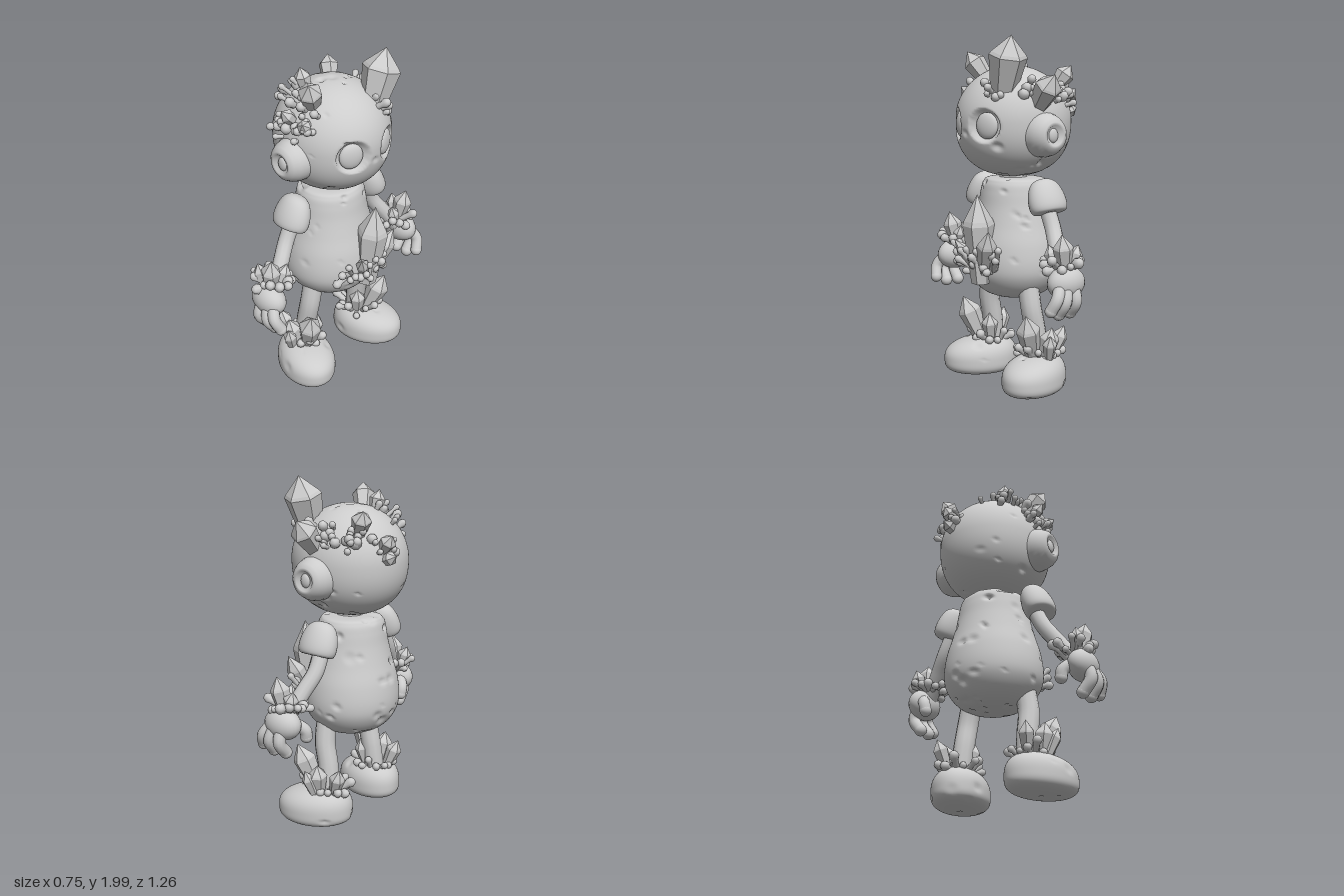
import * as THREE from 'three';
import { mergeGeometries, mergeVertices } from 'three/addons/utils/BufferGeometryUtils.js';

const V = (x, y, z) => new THREE.Vector3(x, y, z);
const UP = V(0, 1, 0);

export function createModel() {
  const model = new THREE.Group();
  model.name = 'crystalFigure';
  const stone = new THREE.MeshStandardMaterial({ color: 0xcccccc });
  stone.name = 'grey stone';

  let seed = 7;
  const rnd = () => (seed = (seed * 16807) % 2147483647) / 2147483647;
  const jit = (a) => (rnd() * 2 - 1) * a;

  const add = (name, geo, parent = model) => {
    const m = new THREE.Mesh(geo, stone);
    m.name = name;
    parent.add(m);
    return m;
  };

  // Weld the seams of a closed shape and smooth it
  const weld = (geo) => {
    geo.deleteAttribute('uv');
    geo.deleteAttribute('normal');
    const g = mergeVertices(geo, 1e-4);
    g.computeVertexNormals();
    return g;
  };

  // Press small random pits into a surface
  const pit = (geo, count, depth, size) => {
    const p = geo.attributes.position, n = geo.attributes.normal;
    const v = V(), c = V(), k = V();
    for (let i = 0; i < count; i++) {
      c.fromBufferAttribute(p, Math.floor(rnd() * p.count));
      const r = size * (0.5 + rnd()), d = depth * (0.4 + rnd()), sy = 1 + rnd();
      for (let j = 0; j < p.count; j++) {
        v.fromBufferAttribute(p, j);
        const q = k.copy(v).sub(c).multiply(V(1, sy, 1)).length() / r;
        if (q < 1) {
          v.addScaledVector(k.fromBufferAttribute(n, j), -d * (1 - q * q) ** 2);
          p.setXYZ(j, v.x, v.y, v.z);
        }
      }
    }
    geo.computeVertexNormals();
    return geo;
  };

  // Rounded solid: a sphere pushed towards a superellipsoid (lower and upper power), then shaped by a rule
  const blob = (w, h, low, high, rule) => {
    const g = new THREE.SphereGeometry(1, w, h), p = g.attributes.position, v = V();
    for (let i = 0; i < p.count; i++) {
      v.fromBufferAttribute(p, i);
      const e = v.y < 0 ? low : high, r = Math.hypot(v.x, v.z);
      v.multiplyScalar((r ** e + Math.abs(v.y) ** e) ** (-1 / e));
      rule(v);
      p.setXYZ(i, v.x, v.y, v.z);
    }
    return weld(g);
  };
  const ellipsoid = (c, rx, ry, rz) =>
    new THREE.SphereGeometry(1, 24, 16).scale(rx, ry, rz).translate(c.x, c.y, c.z);

  // Smooth lathe profile through a few points
  const smoothProfile = (pts, n) => new THREE.SplineCurve(pts.map(([r, y]) => new THREE.Vector2(r, y)))
    .getPoints(n).map((p) => p.setX(Math.max(0, p.x)));

  // Spin a profile between two points
  const spike = (base, tip, pts, sides) => {
    const d = tip.clone().sub(base), L = d.length();
    const g = new THREE.LatheGeometry(pts.map(([r, t]) => new THREE.Vector2(r, t * L)), sides);
    g.applyQuaternion(new THREE.Quaternion().setFromUnitVectors(UP, d.normalize()));
    return g.translate(base.x, base.y, base.z);
  };
  // Faceted six-sided crystal
  const crystal = (base, tip, r) => {
    const g = spike(base, tip, [[r * 0.62, 0], [r, 0.66], [r * 0.9, 0.71], [0, 1]], 6).toNonIndexed();
    g.computeVertexNormals();
    return g;
  };
  // Small stalk with a round knob at its end
  const bud = (base, tip, r) => {
    const k = r / tip.distanceTo(base);
    return spike(base, tip, [[r * 0.65, 0], [r * 0.65, Math.max(0.1, 1 - 1.9 * k)], [r, 1 - k],
      [r * 0.75, 1 - 0.35 * k], [r * 0.4, 1 - 0.08 * k], [0, 1]], 9).toNonIndexed();
  };

  // Round-ended tube through points
  const limb = (pts, r) => {
    const tube = new THREE.TubeGeometry(new THREE.CatmullRomCurve3(pts), 16, r, 12);
    return mergeGeometries([tube, ...[pts[0], pts[pts.length - 1]].map((c) => ellipsoid(c, r, r, r))]);
  };

  // Head with two eye sockets
  const headC = V(0, 1.53, 0);
  const head = blob(150, 100, 2.3, 2, (v) => {
    v.multiply(V(0.334, 0.312, 0.322));
    if (v.x > 0) for (const s of [1, -1]) {
      const q = Math.hypot((v.z - s * 0.127) / 0.088, (v.y + 0.015) / 0.094);
      if (q < 1) v.x -= 0.045 * Math.min(1, (1 - q * q) * 2);
    }
  });
  add('head', pit(head, 45, 0.012, 0.03)).position.copy(headC);

  // Neck and pear-shaped body
  add('neck', new THREE.CylinderGeometry(0.075, 0.08, 0.1, 24).translate(0, 1.23, 0));
  const outline = [[0, 0.515], [0.13, 0.53], [0.215, 0.575], [0.27, 0.65], [0.286, 0.73], [0.274, 0.84],
    [0.243, 0.95], [0.218, 1.05], [0.204, 1.13], [0.188, 1.185], [0.15, 1.21], [0, 1.213]];
  const body = weld(new THREE.LatheGeometry(smoothProfile(outline, 80), 120).scale(0.95, 1, 1).translate(-0.012, 0, 0));
  add('body', pit(body, 60, 0.012, 0.033));

  for (const s of [1, -1]) {
    const side = s > 0 ? 'left' : 'right', turn = s > 0 ? -1 : 1;
    const P = (x, y, z) => V(x, y, z * s);
    // Front of the figure looks along +x, so each side is mirrored in z
    const half = new THREE.Group();
    half.name = side + 'Side';
    model.add(half);

    // Eye
    const eye = add('eye', ellipsoid(V(0, 0, 0), 0.028, 0.073, 0.068), half);
    eye.position.copy(P(0.27, 1.515, 0.126));
    eye.rotation.y = turn * 0.38;

    // Ear: rounded dome with a dished middle and a small knob
    const ear = [[0.125, -0.03], [0.122, 0.015], [0.112, 0.05], [0.094, 0.08], [0.072, 0.097], [0.056, 0.097], [0.045, 0.082], [0, 0.078]];
    add('ear', weld(spike(P(0.01, 1.465, 0.297), P(0.01, 1.465, 0.397), ear.map(([r, t]) => [r, t * 10]), 32)), half);
    add('earKnob', ellipsoid(P(0.012, 1.465, 0.375), 0.032, 0.04, 0.018), half);

    // Shoulder cap
    const cap = [[0, -0.085], [0.085, -0.088], [0.111, -0.07], [0.116, -0.025], [0.105, 0.03], [0.082, 0.075], [0.045, 0.1], [0, 0.106]];
    const shoulder = add('shoulder', weld(new THREE.LatheGeometry(smoothProfile(cap, 28), 36).scale(1, 1, 0.74)), half);
    shoulder.position.copy(P(-0.01, 1.118, 0.292));
    shoulder.rotation.x = turn * 0.38;

    // Arm, palm and curled fingers
    add('arm', limb([P(-0.02, 1.07, 0.28), P(-0.02, 0.95, 0.34), P(0.01, 0.85, 0.41), P(0.05, 0.72, 0.5)], 0.046), half);
    add('palm', ellipsoid(P(0.05, 0.69, 0.54), 0.115, 0.09, 0.08), half);
    add('fingers', mergeGeometries([
      limb([P(0.1, 0.7, 0.55), P(0.15, 0.62, 0.59), P(0.172, 0.555, 0.565)], 0.034),
      limb([P(0.07, 0.7, 0.56), P(0.1, 0.6, 0.595), P(0.108, 0.53, 0.55)], 0.036),
      limb([P(0.03, 0.7, 0.56), P(0.03, 0.6, 0.595), P(0.028, 0.53, 0.545)], 0.036),
      limb([P(0.0, 0.7, 0.51), P(-0.045, 0.65, 0.465), P(-0.045, 0.61, 0.455)], 0.035),
    ]), half);

    // Leg and turned-out foot
    add('leg', limb([P(0.03, 0.62, 0.18), P(0.025, 0.48, 0.205), P(0.0, 0.35, 0.21), P(-0.02, 0.17, 0.22)], 0.06), half);
    const foot = blob(64, 44, 3.4, 2.5, (v) => v.multiply(V(0.222, v.y < 0 ? 0.09 : 0.13 - 0.02 * v.x, 0.162)));
    const shoe = add('foot', pit(foot, 8, 0.008, 0.03), half);
    shoe.position.copy(P(0.05, 0.1, 0.264));
    shoe.rotation.y = turn * 0.34;

    // Wrist crystals in a ring of buds
    const wrist = [
      crystal(P(0.04, 0.73, 0.52), P(0.085, 0.955, 0.545), 0.056),
      crystal(P(0.02, 0.75, 0.53), P(-0.03, 0.89, 0.545), 0.042),
      crystal(P(0.07, 0.74, 0.48), P(0.08, 0.885, 0.425), 0.038),
    ];
    for (let i = 0; i < 14; i++) {
      const a = i * 0.45, c = Math.cos(a), k = Math.sin(a), d = 0.12 + jit(0.025);
      wrist.push(bud(P(0.04 + c * 0.03, 0.755, 0.49 + k * 0.03),
        P(0.04 + c * d, 0.8 + jit(0.05), 0.49 + k * d), 0.021 + rnd() * 0.012));
    }
    add('wristCrystals', mergeGeometries(wrist), half);

    // Ankle crystals in a ring of buds
    const ankle = [
      crystal(P(0.05, 0.21, 0.25), P(0.145, 0.475, 0.31), 0.068),
      crystal(P(0.0, 0.2, 0.3), P(-0.02, 0.39, 0.335), 0.056),
      crystal(P(-0.08, 0.2, 0.26), P(-0.145, 0.375, 0.29), 0.046),
      crystal(P(0.02, 0.2, 0.2), P(0.05, 0.385, 0.17), 0.05),
      crystal(P(0.0, 0.2, 0.33), P(0.03, 0.36, 0.385), 0.04),
    ];
    for (let i = 0; i < 14; i++) {
      const a = i * 0.45, c = Math.cos(a), k = Math.sin(a), d = 0.13 + jit(0.025);
      ankle.push(bud(P(-0.01 + c * 0.06, 0.2, 0.235 + k * 0.06),
        P(-0.01 + c * d * 1.1, 0.26 + jit(0.04), 0.235 + k * d), 0.021 + rnd() * 0.01));
    }
    add('ankleCrystals', mergeGeometries(ankle), half);
  }

  // Large crystals on the head
  add('headCrystals', mergeGeometries([
    crystal(V(0.17, 1.67, -0.13), V(0.18, 2.0, -0.225), 0.107),
    crystal(V(0.04, 1.74, 0.18), V(0.12, 1.92, 0.285), 0.065),
    crystal(V(0.03, 1.6, -0.25), V(0.035, 1.79, -0.42), 0.076),
    crystal(V(-0.17, 1.7, -0.15), V(-0.25, 1.84, -0.21), 0.056),
    crystal(V(-0.08, 1.76, 0.11), V(-0.1, 1.91, 0.14), 0.045),
    crystal(V(-0.27, 1.6, -0.08), V(-0.365, 1.71, -0.11), 0.046),
    crystal(V(-0.27, 1.56, -0.08), V(-0.385, 1.6, -0.1), 0.04),
    crystal(V(-0.01, 1.65, 0.25), V(-0.02, 1.75, 0.35), 0.038),
    crystal(V(0.07, 1.64, 0.25), V(0.13, 1.72, 0.34), 0.038),
  ]));

  // Patches of small buds on the head: direction, spread, count
  const buds = [];
  for (const [x, y, z, spread, count] of [[0.02, 0.12, 0.28, 0.12, 20], [0.02, 0.23, 0.2, 0.1, 9],
    [-0.13, 0.24, 0.13, 0.1, 12], [0.02, 0.14, -0.28, 0.11, 15], [0.19, 0.19, -0.16, 0.09, 9],
    [-0.2, 0.17, -0.18, 0.08, 11], [-0.29, 0.08, -0.08, 0.08, 10], [-0.1, 0.13, -0.24, 0.07, 8]]) {
    for (let i = 0; i < count; i++) {
      const n = V(x + jit(spread), y + jit(spread * 0.7), z + jit(spread * 0.7)).normalize();
      const base = headC.clone().addScaledVector(n, 0.295);
      const tip = headC.clone().addScaledVector(n, 0.348 + rnd() * 0.035).add(V(jit(0.02), 0.008, jit(0.02)));
      buds.push(bud(base, tip, 0.017 + rnd() ** 2 * 0.018));
    }
  }
  add('headBuds', mergeGeometries(buds));

  // Belly crystals with a fan of buds
  const belly = [
    crystal(V(0.25, 0.63, -0.035), V(0.29, 1.135, -0.055), 0.09),
    crystal(V(0.25, 0.68, -0.06), V(0.31, 0.945, -0.19), 0.056),
    crystal(V(0.24, 0.68, -0.02), V(0.34, 0.87, 0.1), 0.04),
  ];
  for (let i = 0; i < 18; i++) {
    const t = (i / 17) * 2 - 1;
    belly.push(bud(V(0.23, 0.66 + 0.06 * Math.abs(t), -0.025 + 0.12 * t),
      V(0.35 - 0.1 * t * t + jit(0.02), 0.78 + jit(0.075), 0.0 + 0.23 * t), 0.02 + rnd() * 0.008));
  }
  add('bellyCrystals', mergeGeometries(belly));

  return model;
}
